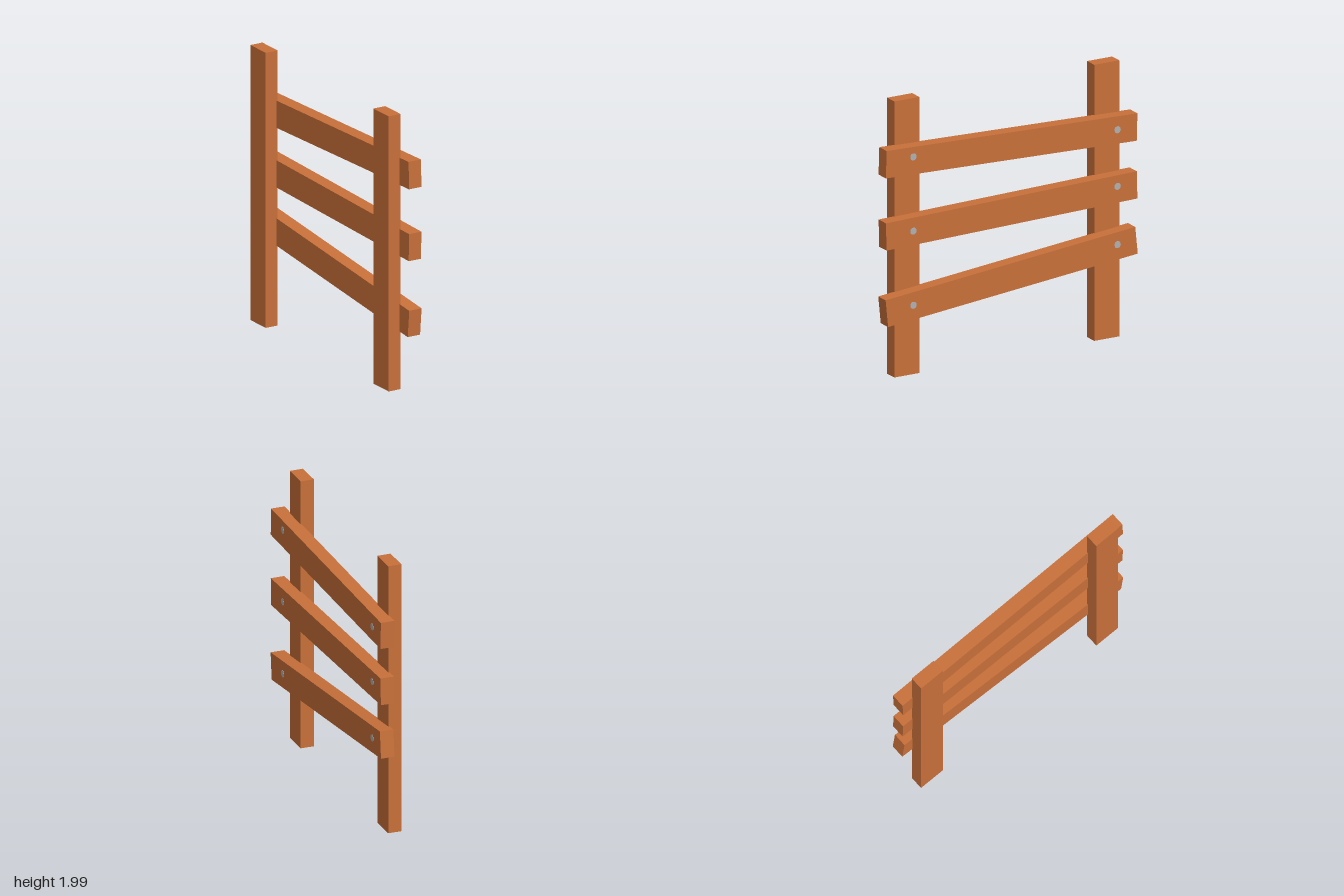
import * as THREE from 'three';

export function createModel() {
  const model = new THREE.Group();
  model.name = 'fence';
  const wood = new THREE.MeshStandardMaterial({ color: 0xc8703a, flatShading: true });
  const steel = new THREE.MeshStandardMaterial({ color: 0xb0b0b0 });

  function add(name, geometry, material, x, y, z) {
    const mesh = new THREE.Mesh(geometry, material);
    mesh.name = name;
    mesh.position.set(x, y, z);
    model.add(mesh);
    return mesh;
  }

  // Upright posts
  const postGeometry = new THREE.BoxGeometry(0.097, 1.99, 0.198);
  add('frontPost', postGeometry, wood, -0.0485, 0.995, 0.78);
  add('backPost', postGeometry, wood, -0.0485, 0.995, -0.806);

  // Crooked rails: centre height, rise towards the back, bolt heights
  const rails = [
    { name: 'topRail', y: 1.55, rise: -0.059, bolts: [1.601, 1.527] },
    { name: 'middleRail', y: 1.081, rise: 0.045, bolts: [1.066, 1.119] },
    { name: 'bottomRail', y: 0.605, rise: 0.2, bolts: [0.531, 0.699] },
  ];
  const railGeometry = new THREE.BoxGeometry(0.1, 0.197, 1.99);
  const boltGeometry = new THREE.CylinderGeometry(0.025, 0.025, 0.02, 24).rotateZ(-Math.PI / 2);
  for (const { name, y, rise, bolts } of rails) {
    const rail = add(name, railGeometry, wood, 0.042, y, 0.002);
    rail.rotation.x = Math.asin(rise / 1.99);
    // Bolt heads just proud of the outer face
    bolts.forEach((boltY, i) => add(name + 'Bolt', boltGeometry, steel, 0.084, boltY, i ? -0.837 : 0.782));
  }
  return model;
}
